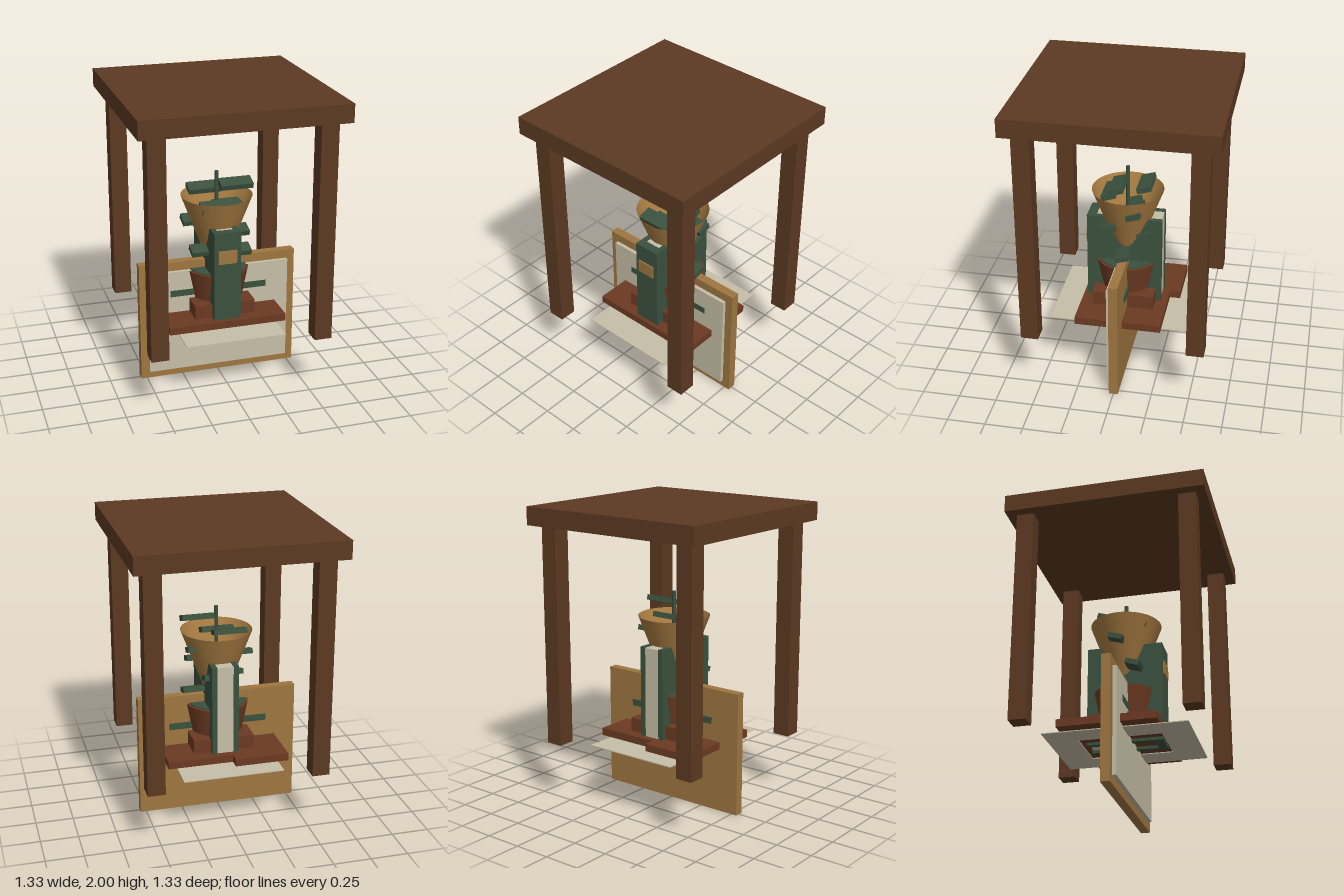
import * as THREE from 'three';

const mat = (name, color) => {
  const m = new THREE.MeshStandardMaterial({ color });
  m.name = name;
  return m;
};

export function createModel() {
  const model = new THREE.Group();
  model.name = 'millShelter';
  const darkWood = mat('dark wood', 0x5c3a22);
  const redWood = mat('red brown wood', 0x6b3a22);
  const tan = mat('tan wood', 0x9e7640);
  const green = mat('dark green paint', 0x3b513e);
  const cream = mat('cream', 0xc6bea6);
  const hopperMat = mat('golden wood', 0xa87c42);
  hopperMat.side = THREE.DoubleSide;

  const add = (name, geometry, material, x = 0, y = 0, z = 0) => {
    const mesh = new THREE.Mesh(geometry, material);
    mesh.name = name;
    mesh.position.set(x, y, z);
    model.add(mesh);
    return mesh;
  };
  // Box given by its minimum and maximum on each axis
  const box = (name, material, x0, x1, y0, y1, z0, z1) =>
    add(name, new THREE.BoxGeometry(x1 - x0, y1 - y0, z1 - z0), material,
      (x0 + x1) / 2, (y0 + y1) / 2, (z0 + z1) / 2);

  // Flat roof on four posts
  box('roof', darkWood, -0.665, 0.665, 1.88, 2, -0.665, 0.665);
  for (const sx of [-1, 1]) {
    for (const sz of [-1, 1]) {
      add('post', new THREE.BoxGeometry(0.115, 1.46, 0.115), darkWood, sx * 0.542, 1.15, sz * 0.542);
    }
  }

  // Upright board with a pale face
  box('board', tan, -0.54, 0.54, 0, 0.83, -0.03, 0.03);
  box('boardFace', cream, -0.485, 0.485, 0.055, 0.77, 0.03, 0.055);

  // Stepped base and the bowl on it
  box('basePlate', redWood, -0.4, 0.395, 0.43, 0.48, -0.285, 0.288);
  box('baseStep', redWood, -0.4, -0.04, 0.43, 0.48, -0.355, -0.285);
  box('baseBlock', redWood, -0.205, 0.205, 0.48, 0.572, -0.205, 0.205);
  add('bowl', new THREE.CylinderGeometry(0.212, 0.175, 0.195, 32), redWood, 0, 0.67, 0);
  add('bowlContents', new THREE.CylinderGeometry(0.195, 0.195, 0.01, 32), green, 0, 0.77, 0);
  box('crossBar', green, -0.335, 0.33, 0.593, 0.637, -0.04, 0.058);

  // Thin tray sheet with an opening under the base
  const sheet = new THREE.Shape([[-0.335, -0.47], [0.335, -0.47], [0.335, 0.47], [-0.335, 0.47]]
    .map(p => new THREE.Vector2(...p)));
  sheet.holes.push(new THREE.Path([[-0.17, -0.27], [-0.17, 0.27], [0.17, 0.27], [0.17, -0.27]]
    .map(p => new THREE.Vector2(...p))));
  const sheetGeo = new THREE.ExtrudeGeometry(sheet, { depth: 0.006, bevelEnabled: false });
  sheetGeo.rotateX(-Math.PI / 2);
  add('traySheet', sheetGeo, cream, 0, 0.417, 0);

  // Column: green side plates and front plate around a pale core
  for (const s of [-1, 1]) {
    add('columnSide', new THREE.BoxGeometry(0.035, 0.68, 0.5), green, s * 0.0725, 0.75, 0.01);
  }
  box('columnFront', green, -0.055, 0.055, 0.41, 1.09, 0.2, 0.26);
  box('columnCore', cream, -0.055, 0.055, 0.43, 1.085, -0.235, 0.2);
  box('plaque', tan, -0.063, 0.06, 0.88, 0.97, 0.261, 0.27);

  // Funnel hopper
  add('hopper', new THREE.CylinderGeometry(0.237, 0.06, 0.47, 40, 1, true), hopperMat, 0, 1.035, 0);

  // Shaft with tilted paddles set around it in a spiral
  add('shaft', new THREE.CylinderGeometry(0.013, 0.013, 0.63, 12), green, 0, 1.115, 0);
  for (let i = 0; i < 9; i++) {
    const a = i * 2.4;
    const paddle = add('paddle', new THREE.BoxGeometry(0.218, 0.035, 0.095), green,
      Math.cos(a) * 0.125, 0.86 + i * 0.061, Math.sin(a) * 0.125);
    paddle.rotation.x = 0.3;
  }
  return model;
}
